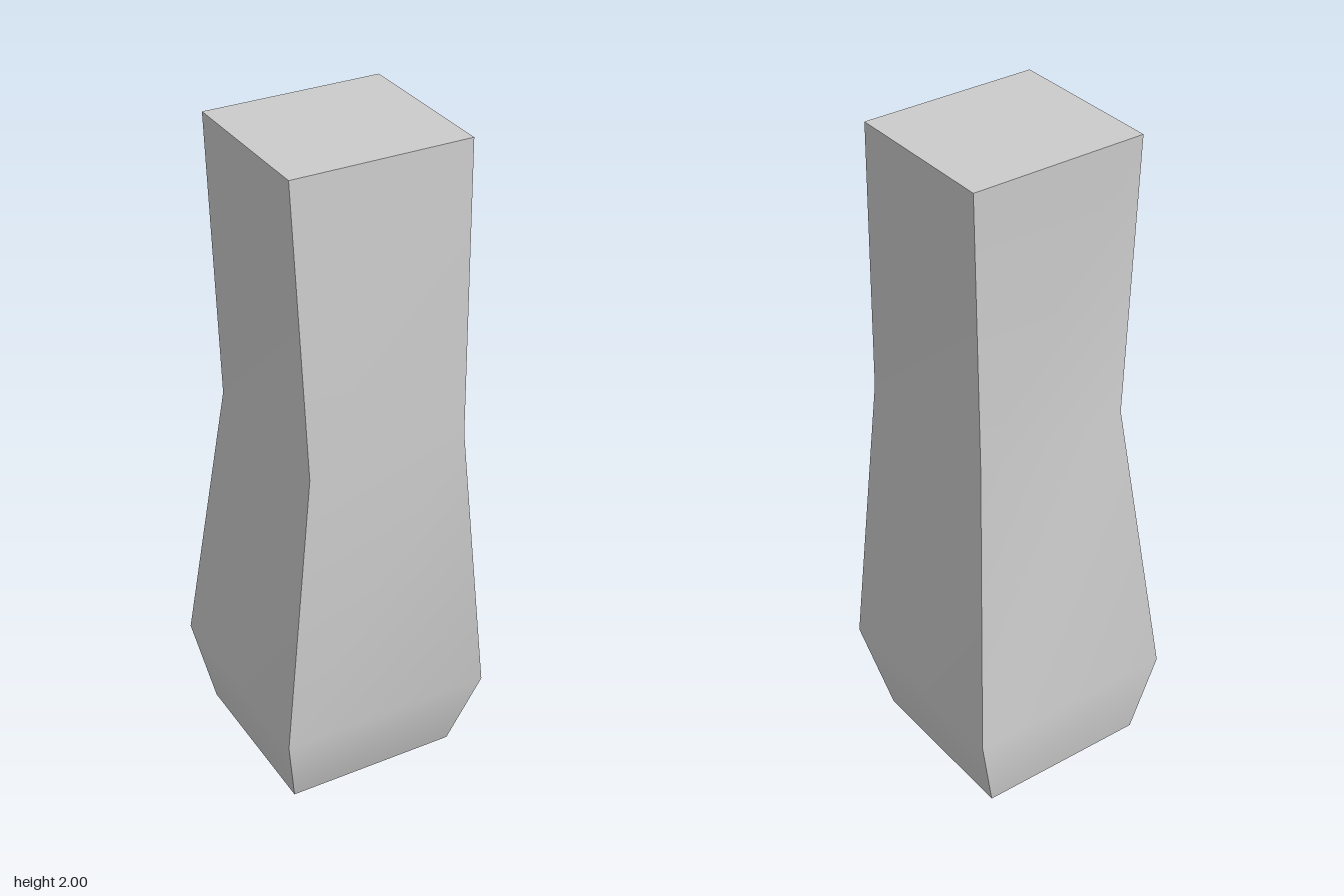
import * as THREE from 'three';

// Cross-sections from bottom to top: height, half width, front z, back z
const SECTIONS = [
  [0, 0.265, 0.24, -0.285],
  [0.27, 0.325, 0.325, -0.325],
  [1.15, 0.24, 0.305, -0.21],
  [2, 0.265, 0.255, -0.225],
];

export function createModel() {
  const group = new THREE.Group();
  group.name = 'taperedPost';

  // A box with one row of vertices per section, moved onto the sections
  const rows = SECTIONS.length - 1;
  const geometry = new THREE.BoxGeometry(2, rows, 2, 1, rows, 1);
  const pos = geometry.attributes.position;
  for (let i = 0; i < pos.count; i++) {
    const [y, halfWidth, front, back] = SECTIONS[Math.round(pos.getY(i) + rows / 2)];
    pos.setXYZ(i, Math.sign(pos.getX(i)) * halfWidth, y, pos.getZ(i) > 0 ? front : back);
  }
  // Each side is smooth along its height; the corner edges stay sharp
  geometry.computeVertexNormals();

  const post = new THREE.Mesh(geometry, new THREE.MeshStandardMaterial({ color: 0xcccccc }));
  post.name = 'post';
  group.add(post);
  return group;
}
